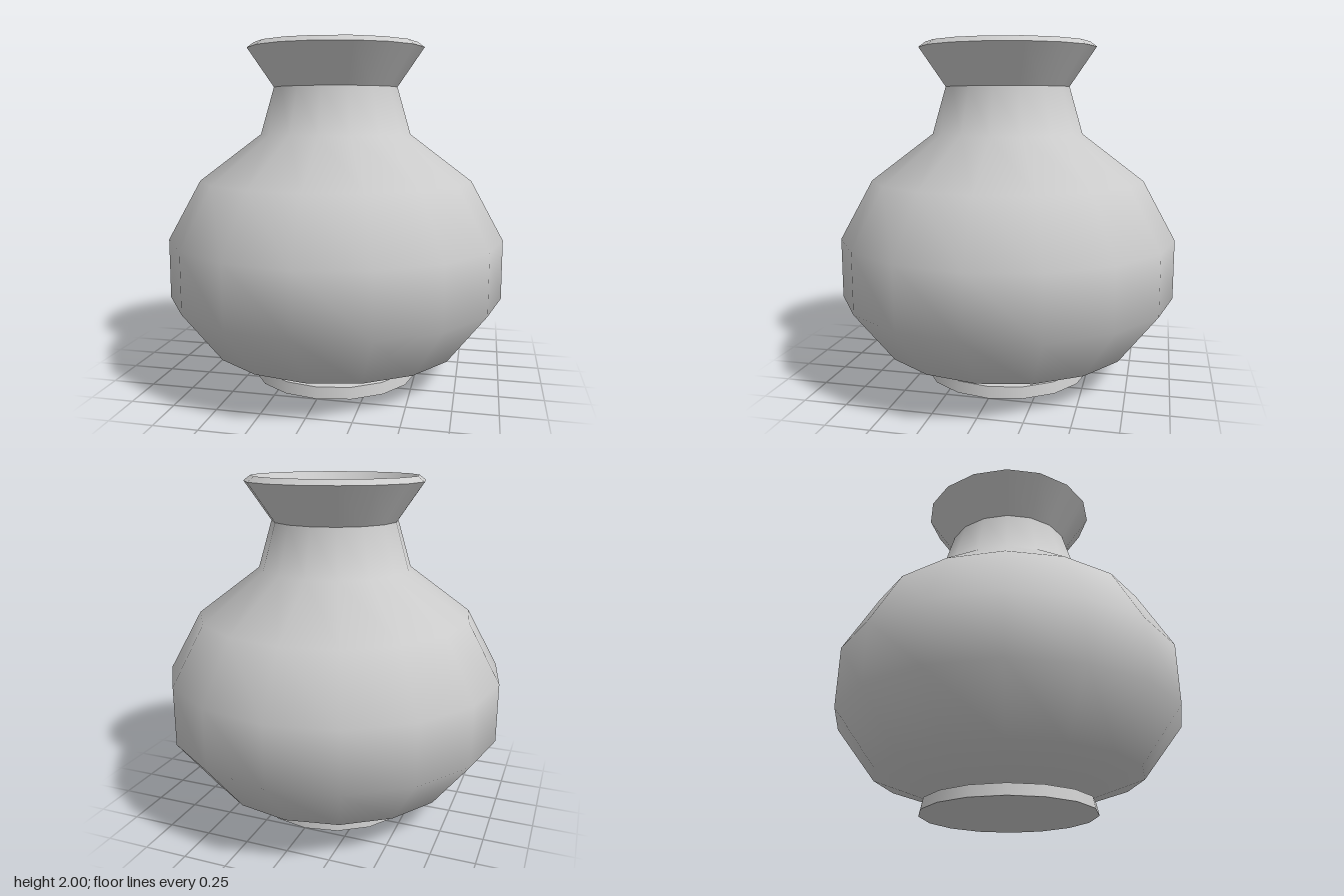
import * as THREE from 'three';

const SIDES = 16;

export function createModel() {
  const group = new THREE.Group();
  const material = new THREE.MeshStandardMaterial({ color: 0xcccccc });

  // Each band is smooth within itself; edges between bands stay sharp.
  const band = (name, profile) => {
    const points = profile.map(([r, y]) => new THREE.Vector2(r, y));
    const mesh = new THREE.Mesh(new THREE.LatheGeometry(points, SIDES), material);
    mesh.name = name;
    group.add(mesh);
  };

  // Foot ring with closed underside
  band('footBase', [[0, 0], [0.5, 0]]);
  band('footSide', [[0.5, 0], [0.487, 0.065]]);
  band('footTop', [[0.487, 0.065], [0.42, 0.078]]);

  // Rounded belly running up into the tapering neck
  band('body', [
    [0.42, 0.078], [0.765, 0.2], [1, 0.505], [1, 0.855],
    [0.81, 1.2], [0.45, 1.47], [0.37, 1.745],
  ]);

  // Flared mouth with bevelled lip
  band('mouthOutside', [[0.37, 1.745], [0.525, 1.97]]);
  band('lip', [[0.525, 1.97], [0.485, 2]]);
  band('mouthInside', [[0.485, 2], [0.31, 1.75]]);

  // Hollow interior following the outer wall
  band('innerWall', [
    [0.31, 1.75], [0.4, 1.44], [0.765, 1.17], [0.95, 0.84],
    [0.95, 0.525], [0.735, 0.24], [0.42, 0.13],
  ]);
  band('innerFloor', [[0.42, 0.13], [0, 0.13]]);

  return group;
}
